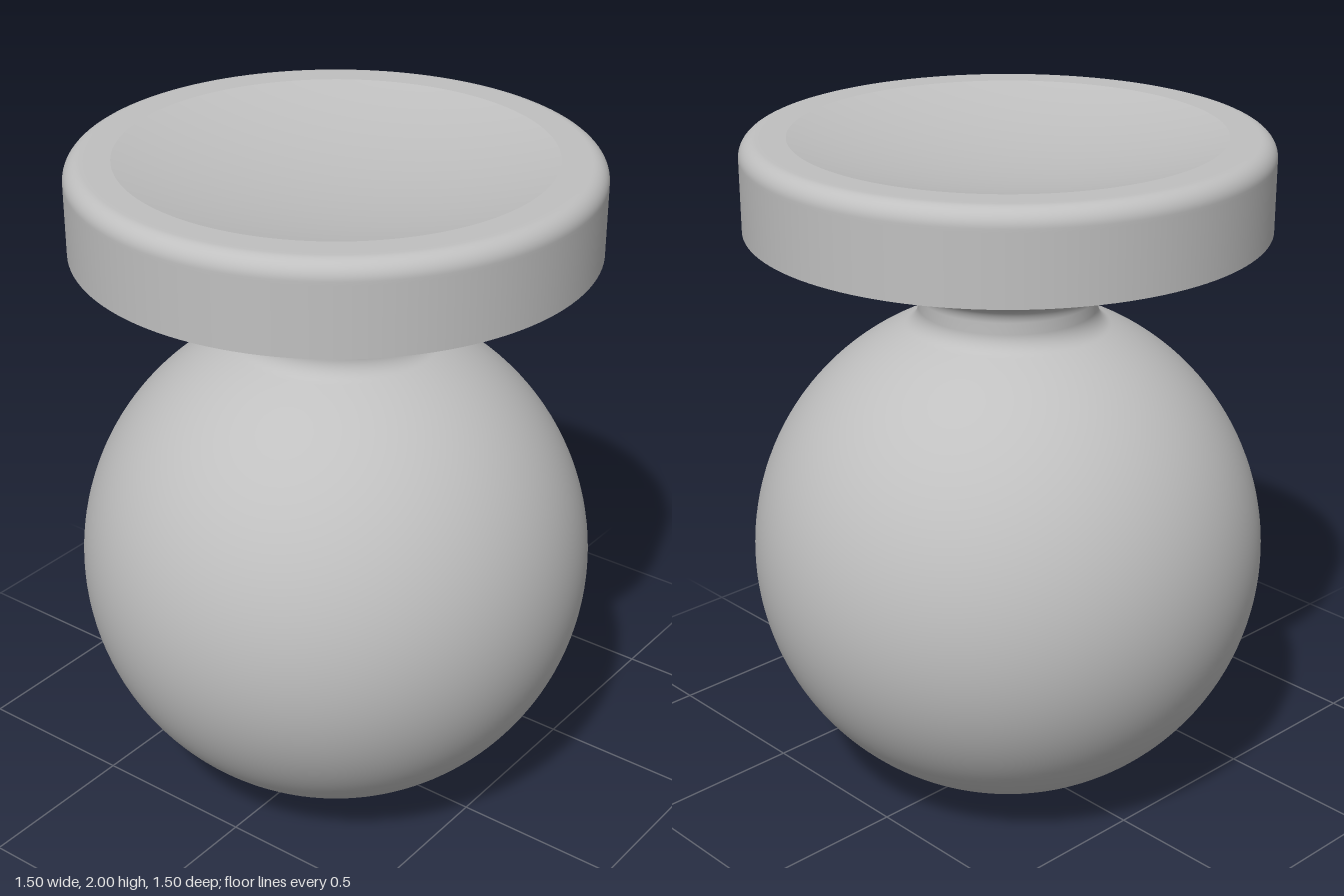
import * as THREE from 'three';

const SEGMENTS = 128;

// Points along a circular arc in the (radius, height) plane, angles in radians
function arc(cx, cy, r, from, to, steps) {
  return Array.from({ length: steps + 1 }, (_, i) => {
    const a = from + ((to - from) * i) / steps;
    return new THREE.Vector2(Math.max(0, cx + r * Math.cos(a)), cy + r * Math.sin(a));
  });
}

export function createModel() {
  const group = new THREE.Group();
  const grey = new THREE.MeshStandardMaterial({ color: 0xc0c0c0 });
  grey.name = 'plain grey';

  // Each part is a smooth turned surface; edges between parts stay sharp
  const turn = (name, points) => {
    const mesh = new THREE.Mesh(new THREE.LatheGeometry(points, SEGMENTS), grey);
    mesh.name = name;
    group.add(mesh);
  };
  const v = (x, y) => new THREE.Vector2(x, y);

  const R = 0.752;        // ball radius
  const neckR = 0.258;
  const headR = 0.742;
  const headBase = 1.742;
  const slope = 0.36;     // rise of the flared underside

  // Lower fillet, tangent to both the ball and the neck
  const f1 = 0.06;
  const x1 = neckR + f1;
  const y1 = R + Math.sqrt((R + f1) ** 2 - x1 ** 2);
  const joint = Math.atan2(y1 - R, x1);

  // Upper fillet, tangent to the neck and the flare
  const f2 = 0.05;
  const x2 = neckR + f2;
  const tilt = Math.atan(slope);
  const y2 = headBase - slope * (headR - x2) - f2 / Math.cos(tilt);

  turn('ball', arc(0, R, R, -Math.PI / 2, joint, 64));
  turn('neck', [
    ...arc(x1, y1, f1, joint + Math.PI, Math.PI, 12).map((p) => p),
    ...arc(x2, y2, f2, Math.PI, Math.PI / 2 + tilt, 12),
  ]);
  turn('flare', [
    v(x2 - f2 * Math.sin(tilt), y2 + f2 * Math.cos(tilt)),
    v(headR, headBase),
  ]);

  // Disc wall, rounded shoulder and flat rim
  const round = 0.05;
  const dishR = 0.61;
  turn('discRim', [
    v(headR, headBase),
    v(headR, 1.94),
    ...arc(headR - round, 2 - round, round, 0, Math.PI / 2, 12),
    v(headR - round - 0.01, 2),
    v(dishR, 2),
  ]);

  // Shallow spherical hollow in the top
  const depth = 0.07;
  const dishSphere = (dishR ** 2 + depth ** 2) / (2 * depth);
  const half = Math.asin(dishR / dishSphere);
  turn('dish', arc(0, 2 - depth + dishSphere, dishSphere, -Math.PI / 2 + half, -Math.PI / 2, 20));

  return group;
}
